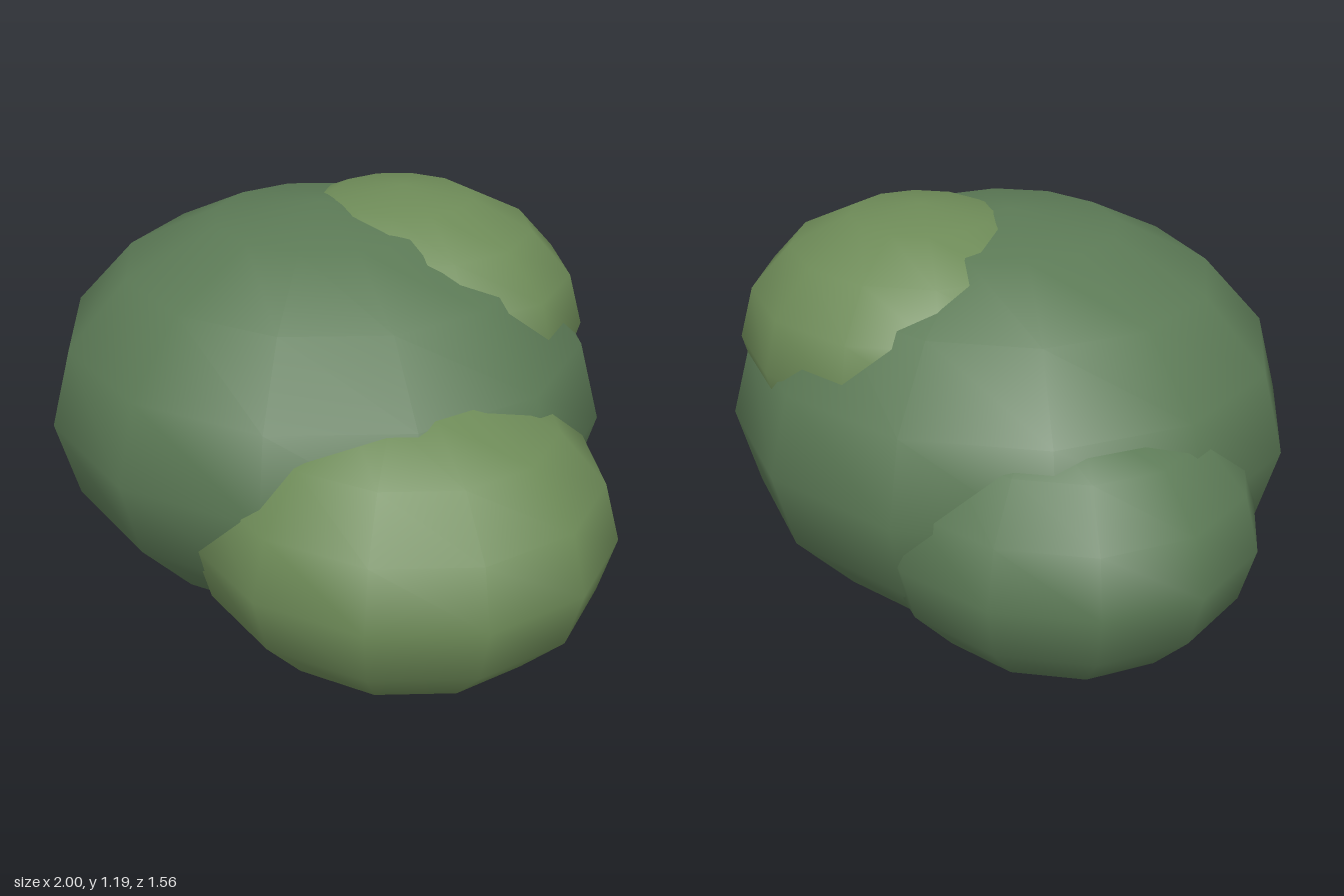
import * as THREE from 'three';

export function createModel() {
  const group = new THREE.Group();
  const dark = new THREE.MeshStandardMaterial({ color: 0x5c7a56 });
  const light = new THREE.MeshStandardMaterial({ color: 0x6e8b58 });

  // One coarse, smooth-shaded foliage clump: a stretched sphere
  function clump(name, material, centre, radii) {
    const geometry = new THREE.SphereGeometry(1, 12, 8);
    geometry.scale(...radii);
    const mesh = new THREE.Mesh(geometry, material);
    mesh.name = name;
    mesh.position.set(...centre);
    group.add(mesh);
  }

  clump('mainClump', dark, [-0.05, 0.586, 0], [0.81, 0.583, 0.778]);
  clump('leftFrontClump', light, [0.41, 0.43, 0.19], [0.59, 0.424, 0.566]);
  clump('rightBackClump', dark, [-0.46, 0.46, -0.13], [0.54, 0.4, 0.52]);
  clump('topClump', light, [0.07, 0.82, -0.21], [0.53, 0.372, 0.5]);

  group.name = 'bush';
  return group;
}
